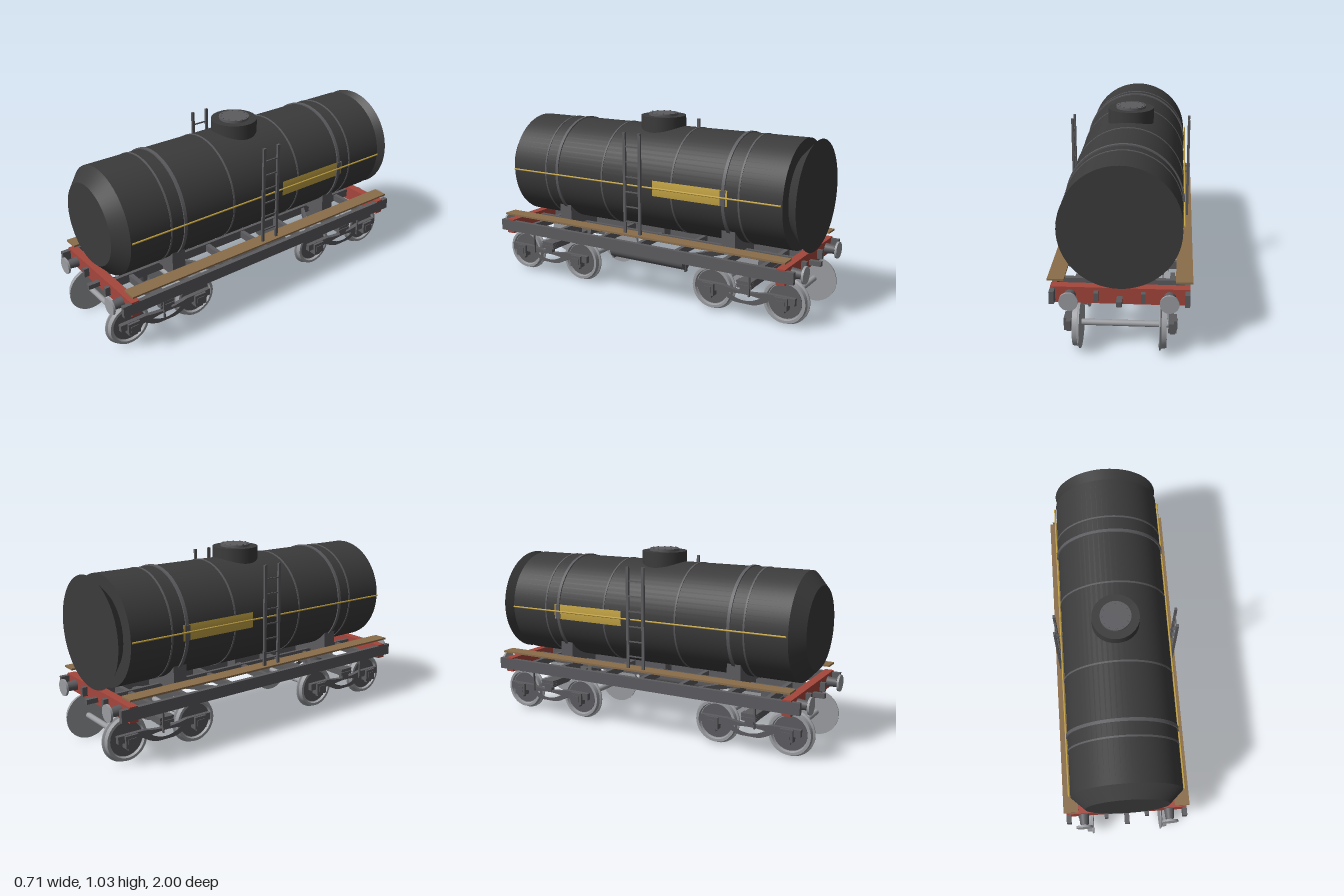
import * as THREE from 'three';
import { toCreasedNormals } from 'three/addons/utils/BufferGeometryUtils.js';

const mat = (name, color) => new THREE.MeshStandardMaterial({ name, color });

export function createModel() {
  const black = mat('tank black', 0x3b3b3b);
  const grey = mat('frame grey', 0x5c5c60);
  const steel = mat('bright steel', 0x9a9ca0);
  const red = mat('beam red', 0xa5463c);
  const wood = mat('plank brown', 0x8b6e4b);
  const yellow = mat('marking yellow', 0xc4a444);

  const model = new THREE.Group();
  const TANK_Y = 0.655, WHEEL_Y = 0.13;
  const sides = [1, -1];

  function add(parent, name, geo, material, x = 0, y = 0, z = 0) {
    const m = new THREE.Mesh(geo, material);
    m.name = name;
    m.position.set(x, y, z);
    parent.add(m);
    return m;
  }
  const group = (name, parent = model) => {
    const g = new THREE.Group();
    g.name = name;
    parent.add(g);
    return g;
  };
  const box = (p, name, m, w, h, d, x, y, z) => add(p, name, new THREE.BoxGeometry(w, h, d), m, x, y, z);
  // Cylinders lying along z (rFront at +z) and along x
  const cylZ = (rFront, rBack, len, seg = 24) => new THREE.CylinderGeometry(rFront, rBack, len, seg).rotateX(Math.PI / 2);
  const cylX = (r, len, seg = 24) => new THREE.CylinderGeometry(r, r, len, seg).rotateZ(-Math.PI / 2);

  // Tank barrel with one tapered end and one flared end
  const tank = group('tank');
  add(tank, 'barrel', cylZ(0.3, 0.3, 1.74, 64), black, 0, TANK_Y, 0);
  add(tank, 'frontTaper', cylZ(0.225, 0.3, 0.07, 64), black, 0, TANK_Y, 0.905);
  add(tank, 'backFlare', cylZ(0.225, 0.3, 0.07, 64), black, 0, TANK_Y, -0.905);
  for (const z of [0.63, 0.228, -0.228, -0.63]) add(tank, 'seamBand', cylZ(0.303, 0.303, 0.01, 64), grey, 0, TANK_Y, z);
  for (const z of [0.545, -0.54]) add(tank, 'strap', cylZ(0.307, 0.307, 0.018, 64), grey, 0, TANK_Y, z);

  // Filling dome with bolted lid
  add(tank, 'dome', new THREE.CylinderGeometry(0.128, 0.128, 0.11, 40), black, 0, 0.957, 0);
  add(tank, 'domeLid', new THREE.CylinderGeometry(0.084, 0.084, 0.014, 32), grey, 0, 1.018, 0);
  for (let i = 0; i < 12; i++) {
    const a = (i / 12) * Math.PI * 2;
    add(tank, 'lidBolt', new THREE.CylinderGeometry(0.005, 0.005, 0.006, 6), grey, 0.073 * Math.cos(a), 1.026, 0.073 * Math.sin(a));
  }

  // Side markings, ladders and walkways
  for (const s of sides) {
    const fit = group(s > 0 ? 'leftFittings' : 'rightFittings');
    const panel = new THREE.CylinderGeometry(0.304, 0.304, 0.455, 6, 1, true, s * Math.PI / 2 - 0.142, 0.284).rotateX(Math.PI / 2);
    add(fit, 'sidePanel', panel, yellow, 0, TANK_Y, -0.338);
    box(fit, 'panelClip', grey, 0.008, 0.08, 0.03, s * 0.304, TANK_Y, -0.54);
    add(fit, 'sideLine', cylZ(0.005, 0.005, 1.73, 8), yellow, s * 0.308, TANK_Y + 0.002, 0);
    box(fit, 'walkway', wood, 0.083, 0.01, 1.83, s * 0.313, 0.383, -0.004);
    for (const z of [0.05, -0.047]) {
      box(fit, 'ladderPost', grey, 0.013, 0.57, 0.016, s * 0.328, 0.668, z);
      box(fit, 'ladderTie', grey, 0.03, 0.008, 0.008, s * 0.313, TANK_Y, z);
    }
    for (let i = 0; i < 6; i++) box(fit, 'ladderRung', grey, 0.007, 0.007, 0.09, s * 0.328, 0.455 + i * 0.084, 0.0015);
  }

  // Underframe: sills, cross members, diagonals and saddles
  const frame = group('underframe');
  for (const s of sides) {
    box(frame, 'sideSill', grey, 0.025, 0.065, 1.92, s * 0.329, 0.305, 0);
    box(frame, 'centreSill', grey, 0.02, 0.05, 1.76, s * 0.07, 0.302, 0);
    for (const z of [0.715, -0.715]) box(frame, 'hangingLever', grey, 0.011, 0.13, 0.008, s * 0.328, 0.225, z);
    for (const e of sides) {
      const brace = box(frame, 'diagonalBrace', grey, 0.02, 0.03, 0.3, s * 0.195, 0.302, e * 0.4);
      brace.rotation.y = s * e * -0.97;
    }
  }
  for (const z of [0.76, 0.545, 0.25, 0, -0.25, -0.545, -0.76]) box(frame, 'crossMember', grey, 0.64, 0.04, 0.025, 0, 0.302, z);
  box(frame, 'centrePost', grey, 0.06, 0.05, 0.045, 0, 0.345, 0);
  for (const z of [0.547, -0.54]) box(frame, 'saddle', grey, 0.456, 0.13, 0.08, 0, 0.397, z);

  // End beams with bumpers, ribs and hook; identical at both ends
  for (const e of sides) {
    const end = group(e > 0 ? 'frontEnd' : 'backEnd');
    if (e < 0) end.rotation.y = Math.PI;
    box(end, 'endBeam', red, 0.682, 0.085, 0.048, 0, 0.3025, 0.89);
    box(end, 'hook', grey, 0.028, 0.026, 0.07, 0, 0.29, 0.945);
    for (const s of sides) {
      box(end, 'beamRib', grey, 0.022, 0.05, 0.03, s * 0.115, 0.304, 0.928);
      add(end, 'bumperSleeve', cylZ(0.024, 0.03, 0.06), grey, s * 0.243, 0.302, 0.94);
      add(end, 'bumperShaft', cylZ(0.015, 0.015, 0.02, 16), steel, s * 0.243, 0.302, 0.972);
      add(end, 'bumperHead', cylZ(0.047, 0.047, 0.012, 32), steel, s * 0.243, 0.302, 0.984);
    }
  }

  // Air reservoir slung under one side
  add(frame, 'airReservoir', cylZ(0.046, 0.046, 0.49, 32), grey, 0.155, 0.217, 0.003);
  for (const z of [0.25, -0.24]) box(frame, 'reservoirHanger', grey, 0.02, 0.125, 0.01, 0.155, 0.222, z);

  // Wheel profile: flange on the inside, recessed web on the outside
  const wheelGeo = toCreasedNormals(new THREE.LatheGeometry([
    [0, 0], [0.13, 0], [0.13, 0.006], [0.12, 0.012], [0.117, 0.037], [0.102, 0.037], [0.098, 0.022], [0, 0.022],
  ].map(([r, y]) => new THREE.Vector2(r, y)), 40), 0.5).rotateZ(-Math.PI / 2);

  // Pressed side frame of a bogie, with a lens-shaped opening
  const sideShape = new THREE.Shape();
  sideShape.moveTo(-0.285, 0.17);
  sideShape.lineTo(-0.13, 0.17);
  sideShape.quadraticCurveTo(0, 0.14, 0.13, 0.17);
  sideShape.lineTo(0.285, 0.17);
  sideShape.lineTo(0.285, 0.13);
  sideShape.lineTo(0.14, 0.13);
  sideShape.quadraticCurveTo(0.08, 0.09, 0.04, 0.09);
  sideShape.lineTo(-0.04, 0.09);
  sideShape.quadraticCurveTo(-0.08, 0.09, -0.14, 0.13);
  sideShape.lineTo(-0.285, 0.13);
  sideShape.closePath();
  const opening = new THREE.Path();
  opening.moveTo(-0.09, 0.135);
  opening.quadraticCurveTo(0, 0.15, 0.09, 0.135);
  opening.quadraticCurveTo(0, 0.08, -0.09, 0.135);
  sideShape.holes.push(opening);
  const sideGeo = new THREE.ExtrudeGeometry(sideShape, { depth: 0.025, bevelEnabled: false, curveSegments: 10 })
    .rotateY(-Math.PI / 2).translate(0.0125, 0, 0);

  // Two bogies
  for (const e of sides) {
    const bogie = group(e > 0 ? 'frontBogie' : 'backBogie');
    bogie.position.z = e * 0.658;
    box(bogie, 'bolster', grey, 0.47, 0.038, 0.08, 0, 0.195, 0);
    add(bogie, 'pivot', new THREE.CylinderGeometry(0.04, 0.04, 0.09, 20), grey, 0, 0.25, 0);
    for (const s of sides) {
      add(bogie, 'sideFrame', sideGeo, grey, s * 0.253, 0, 0);
      for (let i = 0; i < 4; i++) box(bogie, 'springLeaf', grey, 0.036 + (i % 2) * 0.006, 0.009, 0.085, s * 0.255, 0.181 + i * 0.0105, 0);
      box(bogie, 'springSeat', grey, 0.03, 0.035, 0.05, s * 0.253, 0.165, 0);
    }
    for (const z of [0.212, -0.212]) {
      const set = group('wheelset', bogie);
      set.position.set(0, WHEEL_Y, z);
      add(set, 'axle', cylX(0.016, 0.5, 20), steel);
      for (const s of sides) {
        const wheel = add(set, 'wheel', wheelGeo, steel, s * 0.194, 0, 0);
        if (s < 0) wheel.rotation.y = Math.PI;
        add(set, 'wheelWeb', cylX(0.094, 0.004, 40), grey, s * 0.217, 0, 0);
        box(set, 'axleBox', grey, 0.042, 0.068, 0.072, s * 0.259, 0.004, 0);
        box(set, 'axleBoxCover', grey, 0.012, 0.035, 0.045, s * 0.278, 0.004, 0);
        box(set, 'axleBoxFoot', grey, 0.024, 0.016, 0.04, s * 0.259, -0.037, 0);
      }
    }
  }
  return model;
}
